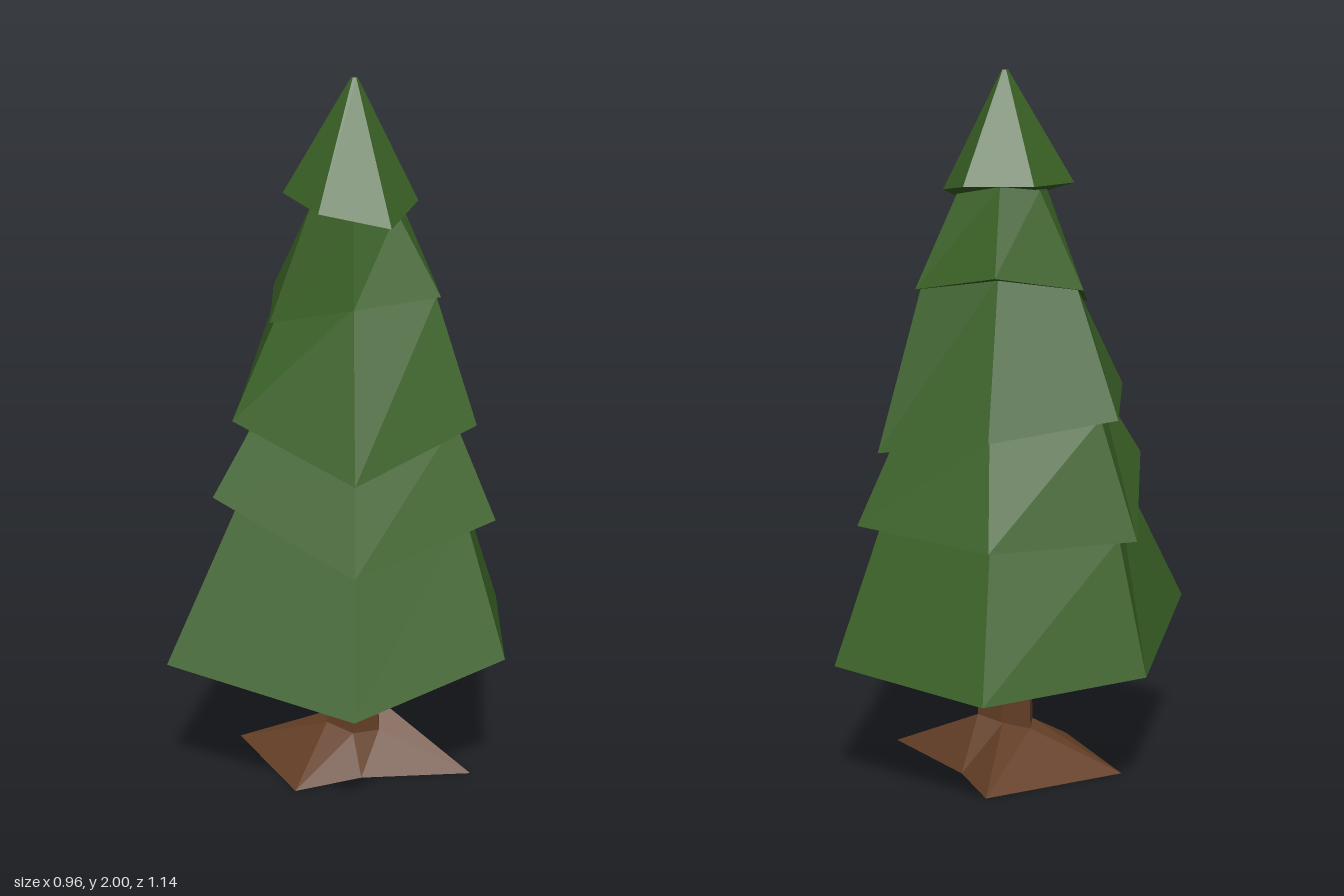
import * as THREE from 'three';

// Skin stacked rings of [x, y, z] points (counter-clockwise from above), with fan caps at both ends.
function loft(rings) {
  const pos = [];
  const tri = (a, b, c) => pos.push(...a, ...b, ...c);
  const centre = ring => [0, 1, 2].map(k => ring.reduce((s, p) => s + p[k], 0) / ring.length);
  const n = rings[0].length;
  const bottom = rings[0], top = rings[rings.length - 1];
  const cb = centre(bottom), ct = centre(top);
  for (let i = 0; i < n; i++) {
    const j = (i + 1) % n;
    for (let r = 0; r < rings.length - 1; r++) {
      const a = rings[r], b = rings[r + 1];
      tri(a[i], a[j], b[j]);
      tri(a[i], b[j], b[i]);
    }
    tri(cb, bottom[j], bottom[i]);
    tri(ct, top[i], top[j]);
  }
  const geo = new THREE.BufferGeometry();
  geo.setAttribute('position', new THREE.Float32BufferAttribute(pos, 3));
  geo.computeVertexNormals(); // unshared corners give flat facets
  return geo;
}

export function createModel() {
  const needles = new THREE.MeshStandardMaterial({ color: 0x3a6126 });
  needles.name = 'needleGreen';
  const bark = new THREE.MeshStandardMaterial({ color: 0x643f26 });
  bark.name = 'barkBrown';

  const tree = new THREE.Group();
  tree.name = 'pineTree';
  const add = (name, rings, material) => {
    const mesh = new THREE.Mesh(loft(rings), material);
    mesh.name = name;
    tree.add(mesh);
  };

  const cx = 0.035, cz = 0;

  // Branch rims, in order: front, right front, right back, back, left back, left front
  const rims = [
    [[0.04, 0.37, 0.57], [0.455, 0.45, 0.34], [0.48, 0.37, -0.30],
      [0.04, 0.35, -0.57], [-0.38, 0.36, -0.30], [-0.48, 0.43, 0.34]],
    [[0.04, 0.75, 0.50], [0.425, 0.83, 0.26], [0.425, 0.75, -0.22],
      [0.04, 0.72, -0.41], [-0.35, 0.72, -0.22], [-0.35, 0.89, 0.25]],
    [[0.04, 0.99, 0.45], [0.37, 1.09, 0.22], [0.37, 0.95, -0.19],
      [0.05, 1.00, -0.31], [-0.295, 1.05, -0.19], [-0.295, 1.10, 0.22]],
    [[0.035, 1.42, 0.27], [0.27, 1.43, 0.15], [0.27, 1.40, -0.13],
      [0.035, 1.44, -0.27], [-0.195, 1.40, -0.13], [-0.195, 1.35, 0.12]],
  ];
  // How far each tier's upper edge sits inside the rim above it
  const insets = [
    [0.78, 0.79, 0.84, 0.93, 0.87, 0.79],
    [0.81, 0.83, 0.91, 0.93, 0.85, 0.80],
    [0.89, 0.95, 0.94, 0.66, 0.93, 0.95],
  ];
  const neck = [[0.035, 1.655, 0.165], [0.15, 1.65, 0.09], [0.16, 1.66, -0.07],
    [0.035, 1.68, -0.125], [-0.07, 1.67, -0.07], [-0.08, 1.67, 0.08]];

  rims.forEach((rim, t) => {
    const upper = t < 3
      ? rims[t + 1].map(([x, y, z], i) => [cx + (x - cx) * insets[t][i], y, cz + (z - cz) * insets[t][i]])
      : neck;
    add('branchTier' + (t + 1), [rim, upper], needles);
  });

  // Pointed crown with a tiny blunt tip
  const crownRim = [[0.135, 1.62, 0.18], [0.21, 1.67, 0.02], [0.135, 1.68, -0.14],
    [-0.06, 1.68, -0.14], [-0.16, 1.69, 0.02], [-0.06, 1.66, 0.18]];
  const tip = crownRim.map(([x, , z]) => [cx + (x - cx) * 0.05, 2, 0.02 + (z - 0.02) * 0.05]);
  add('crown', [crownRim, tip], needles);

  // Trunk flaring into uneven roots
  const roots = [[0.06, 0, 0.19], [0.38, 0, 0.16], [0.15, 0, -0.11],
    [0.06, 0, -0.30], [-0.31, 0, -0.07], [-0.13, 0, 0.27]];
  const collar = [[0.035, 0.10, 0.105], [0.112, 0.09, 0.062], [0.112, 0.15, -0.02],
    [0.035, 0.14, -0.065], [-0.042, 0.11, -0.02], [-0.042, 0.115, 0.062]];
  const trunkTop = collar.map(([x, , z]) => [cx + (x - cx) * 0.93, 0.41, 0.02 + (z - 0.02) * 0.95]);
  add('trunkAndRoots', [roots, collar, trunkTop], bark);

  return tree;
}
